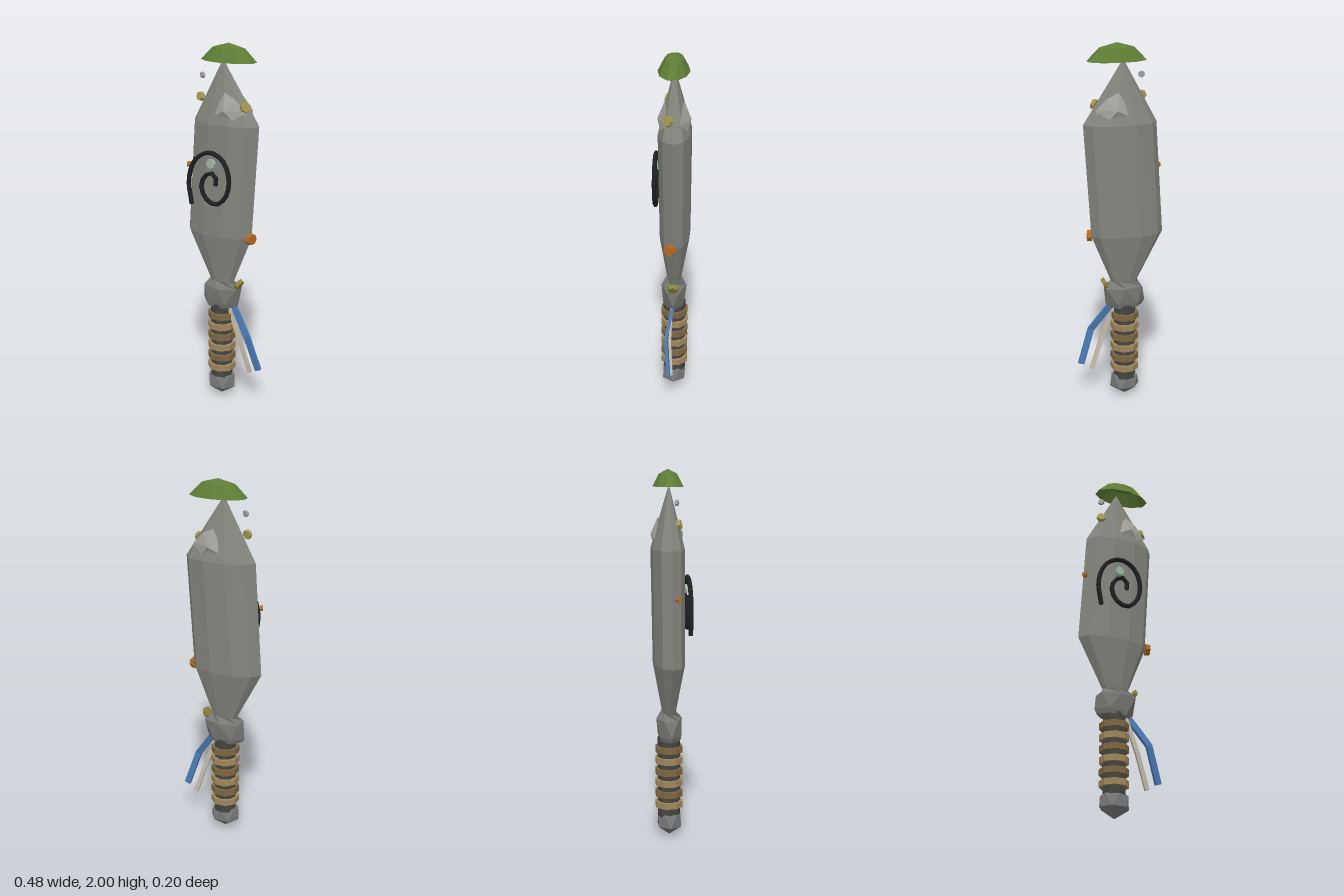
import * as THREE from 'three';
import { ConvexGeometry } from 'three/addons/geometries/ConvexGeometry.js';

const V = (x, y, z) => new THREE.Vector3(x, y, z);

const mat = (color, side = THREE.FrontSide) =>
  new THREE.MeshStandardMaterial({ color, flatShading: true, side });

// Skin over elliptical rings listed bottom to top: [y, cx, cz, rx, rz, twist]
function ringGeometry(rings, n) {
  const pos = [], idx = [];
  for (const [y, cx, cz, rx, rz, twist = 0] of rings) {
    for (let i = 0; i < n; i++) {
      const a = ((i + twist) / n) * Math.PI * 2;
      pos.push(cx + rx * Math.cos(a), y, cz - rz * Math.sin(a));
    }
  }
  for (let r = 0; r < rings.length - 1; r++) {
    for (let i = 0; i < n; i++) {
      const a = r * n + i, b = r * n + (i + 1) % n;
      idx.push(a, b, a + n, b, b + n, a + n);
    }
  }
  // End caps
  const top = (rings.length - 1) * n;
  for (let i = 1; i < n - 1; i++) idx.push(0, i + 1, i, top, top + i, top + i + 1);
  const g = new THREE.BufferGeometry();
  g.setAttribute('position', new THREE.Float32BufferAttribute(pos, 3));
  g.setIndex(idx);
  g.computeVertexNormals();
  return g;
}

export function createModel() {
  const model = new THREE.Group();
  model.name = 'clubSword';
  const add = (name, geometry, material) => {
    const m = new THREE.Mesh(geometry, material);
    m.name = name;
    model.add(m);
    return m;
  };

  // Stone blade
  add('blade', ringGeometry([
    [0.66, -0.022, -0.012, 0.058, 0.03],
    [0.965, -0.04, -0.015, 0.2, 0.084],
    [1.58, 0, -0.016, 0.2, 0.09],
    [1.91, -0.018, -0.012, 0.003, 0.003],
  ], 10), mat(0x85857f));

  // Pointed chips of paler stone, on the front and back of the tip
  const chip = [
    [0.02, 1.75, 0.05], [0.035, 1.66, 0.088], [-0.06, 1.61, 0.065],
    [0.035, 1.63, 0.075], [0.08, 1.72, 0.045], [0.06, 1.66, 0.01],
  ];
  const spur = [
    [0.035, 1.66, 0.088], [0.08, 1.72, 0.045], [0.14, 1.66, 0.035],
    [0.13, 1.545, 0.048], [0.035, 1.63, 0.07], [0.08, 1.64, 0.01],
  ];
  for (const s of [1, -1]) {
    for (const pts of [chip, spur]) {
      add(s > 0 ? 'frontChip' : 'backChip',
        new ConvexGeometry(pts.map(([x, y, z]) => V(x, y, -0.015 + s * z))), mat(0xa3a39b));
    }
  }

  // Moss cap, hollow underneath
  const cap = add('mossCap', new THREE.LatheGeometry(
    [[0.163, 1.907], [0.094, 1.975], [0, 2]].map(([x, y]) => new THREE.Vector2(x, y)), 10),
    mat(0x5f7d35, THREE.DoubleSide));
  cap.scale.z = 0.51;
  cap.position.set(0.016, 0, -0.012);

  // Faceted guard
  add('guard', ringGeometry([
    [0.545, -0.03, -0.01, 0.1, 0.06, 0],
    [0.57, -0.03, -0.01, 0.112, 0.067, 0],
    [0.66, -0.018, -0.01, 0.116, 0.07, 0.5],
    [0.7, -0.02, -0.01, 0.075, 0.045, 0],
  ], 6), mat(0x777773));

  // Grip with binding bands
  const grip = add('grip', new THREE.CylinderGeometry(0.062, 0.062, 0.45, 8), mat(0x454542));
  grip.position.set(-0.027, 0.335, -0.012);
  for (let i = 0; i < 6; i++) {
    const band = add('gripBand', new THREE.CylinderGeometry(0.078, 0.078, 0.034, 8),
      mat(i % 2 ? 0x7d6742 : 0xa1875c));
    band.position.set(-0.027, 0.18 + i * 0.0622, -0.012);
    band.rotation.y = Math.PI / 8;
  }

  // Pommel
  add('pommel', ringGeometry([
    [0.003, -0.026, -0.01, 0.004, 0.004, 0],
    [0.055, -0.027, -0.01, 0.084, 0.07, 0],
    [0.12, -0.027, -0.01, 0.075, 0.062, 0.5],
    [0.135, -0.027, -0.01, 0.05, 0.045, 0],
  ], 6), mat(0x777a79));

  // Spiral on the front face
  const spiral = [
    [-0.155, 1.135], [-0.172, 1.27], [-0.13, 1.385], [-0.04, 1.435], [0.042, 1.4],
    [0.08, 1.31], [0.063, 1.212], [0, 1.155], [-0.065, 1.18], [-0.093, 1.245],
    [-0.07, 1.302], [-0.028, 1.325], [0, 1.3], [-0.003, 1.26],
  ];
  add('spiral', new THREE.TubeGeometry(
    new THREE.CatmullRomCurve3(spiral.map(([x, y]) => V(x, y, 0.088))), 28, 0.0125, 6),
    mat(0x1e2022, THREE.DoubleSide));

  // Ribbons hanging from the guard: a flat strip through [x, y, z] points
  function ribbon(name, points, width, thick, color) {
    const group = new THREE.Group();
    group.name = name;
    for (let i = 0; i < points.length - 1; i++) {
      const a = V(...points[i]), b = V(...points[i + 1]);
      const d = b.clone().sub(a);
      const m = new THREE.Mesh(
        new THREE.BoxGeometry(width, d.length() + 0.008, thick), mat(color));
      m.position.copy(a).lerp(b, 0.5);
      m.quaternion.setFromUnitVectors(V(0, -1, 0), d.normalize());
      group.add(m);
    }
    model.add(group);
  }
  ribbon('blueRibbon', [[0.04, 0.57, -0.012], [0.158, 0.405, 0.024], [0.22, 0.213, 0.004]], 0.034, 0.018, 0x4a7ab5);
  ribbon('paleRibbon', [[0.035, 0.54, 0], [0.1, 0.36, 0.005], [0.16, 0.178, -0.008]], 0.025, 0.014, 0xc6beae);

  // Small studs, each facing outward along its direction
  const studs = [
    ['greenStud', [-0.04, 1.37, 0.068], [0, 0, 1], 0.029, 0.03, 0x9db8a0],
    ['yellowStudRight', [-0.132, 1.715, 0.03], [-0.35, 0.2, 1], 0.026, 0.02, 0xa8a057],
    ['yellowStudLeft', [0.133, 1.68, 0.012], [1, 0.4, 0.75], 0.03, 0.022, 0xa09650],
    ['paleStud', [-0.127, 1.825, 0.018], [-0.5, 0.1, 1], 0.018, 0.014, 0xa0a6a2],
    ['orangeStudLeft', [0.167, 0.967, 0.002], [1, 0, 0.3], 0.033, 0.026, 0xb36a22],
    ['orangeStudRight', [-0.222, 1.332, 0.016], [-1, 0, 0.5], 0.016, 0.016, 0xb36a22],
    ['oliveStud', [0.085, 0.685, -0.01], [0.85, -0.5, 0], 0.033, 0.022, 0x8f8440],
  ];
  for (const [name, p, dir, r, h, color] of studs) {
    const m = add(name, new THREE.CylinderGeometry(r * 0.9, r, h, 7), mat(color));
    m.position.set(...p);
    m.quaternion.setFromUnitVectors(V(0, 1, 0), V(...dir).normalize());
  }

  return model;
}
